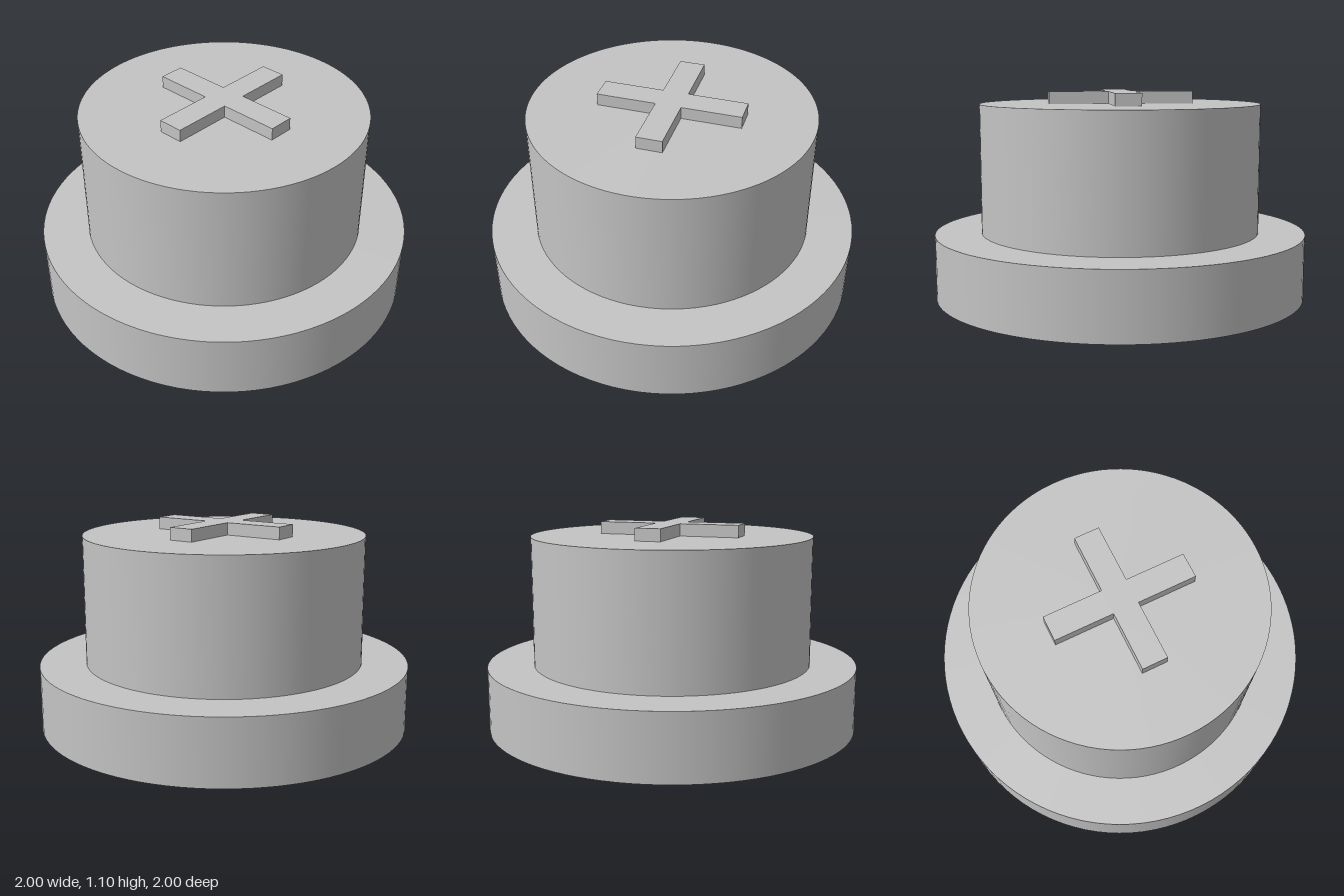
import * as THREE from 'three';

const BASE_TOP = 0.345, BODY_TOP = 1.035, CROSS_TOP = 1.1;

export function createModel() {
  const group = new THREE.Group();
  const grey = new THREE.MeshStandardMaterial({ color: 0xc4c4c4 });
  grey.name = 'light grey';

  function add(name, geometry, y) {
    const mesh = new THREE.Mesh(geometry, grey);
    mesh.name = name;
    mesh.position.y = y;
    group.add(mesh);
  }

  // Round disc standing between two heights
  function disc(name, radius, bottom, top) {
    add(name, new THREE.CylinderGeometry(radius, radius, top - bottom, 96), (bottom + top) / 2);
  }
  disc('baseFlange', 1, 0, BASE_TOP);
  disc('body', 0.753, BASE_TOP, BODY_TOP);

  // Raised cross: one quarter outline turned four times
  const arm = 0.385, half = 0.068;
  const points = [];
  for (let i = 0; i < 4; i++) {
    for (const [x, y] of [[arm, -half], [arm, half], [half, half]]) {
      points.push(new THREE.Vector2(x, y).rotateAround(new THREE.Vector2(), i * Math.PI / 2));
    }
  }
  const cross = new THREE.ExtrudeGeometry(new THREE.Shape(points), {
    depth: CROSS_TOP - BODY_TOP, bevelEnabled: false,
  });
  cross.rotateX(-Math.PI / 2);
  add('raisedCross', cross, BODY_TOP);

  return group;
}
